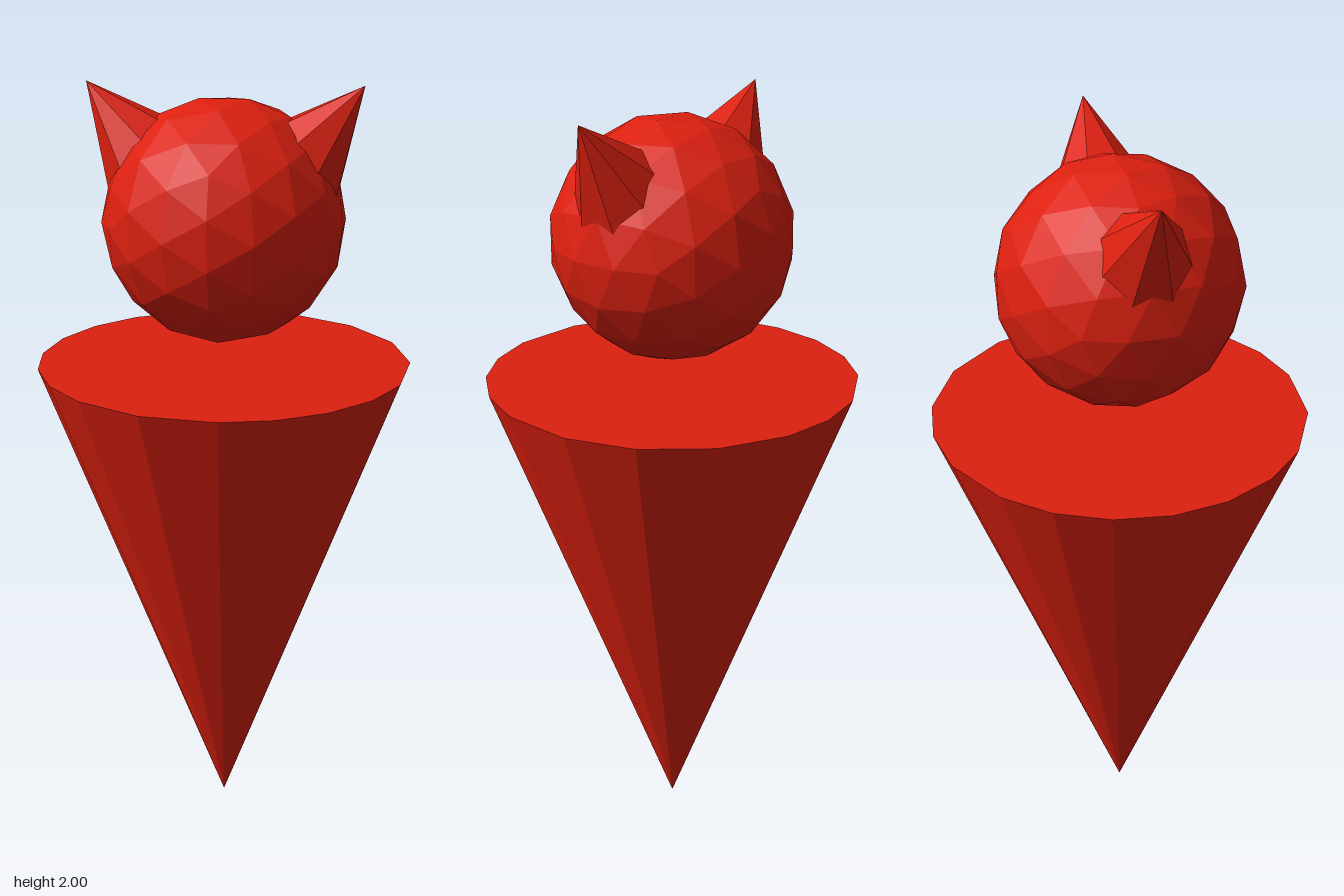
import * as THREE from 'three';

const red = new THREE.MeshStandardMaterial({ color: 0xdd2010, flatShading: true });

function part(name, geometry, parent) {
  const mesh = new THREE.Mesh(geometry, red);
  mesh.name = name;
  parent.add(mesh);
  return mesh;
}

// Inverted cone whose rim corners sit at uneven angles (degrees from +z towards +x)
function bodyGeometry(radius, height) {
  const angles = [6, 22.5, 39, 56, 73, 96, 118, 141, 163, 180, 197, 219, 236, 253, 270, 287, 304, 321, 343];
  const n = angles.length;
  const geometry = new THREE.CylinderGeometry(radius, 0, height, n);
  const pos = geometry.attributes.position;
  for (let i = 0; i < pos.count; i++) {
    const r = Math.hypot(pos.getX(i), pos.getZ(i));
    if (r < 1e-6) continue;
    const turn = Math.atan2(pos.getX(i), pos.getZ(i)) / (2 * Math.PI);
    const k = (Math.round(turn * n) + n) % n;
    const a = THREE.MathUtils.degToRad(angles[k]);
    pos.setXYZ(i, r * Math.sin(a), pos.getY(i), r * Math.cos(a));
  }
  geometry.translate(0, height / 2, 0);
  geometry.computeVertexNormals();
  return geometry;
}

export function createModel() {
  const model = new THREE.Group();
  model.name = 'hornedFigure';

  // Body standing on its point
  part('body', bodyGeometry(0.483, 1.29), model);

  // Faceted head floating above the body
  const head = part('head', new THREE.IcosahedronGeometry(0.309, 2), model);
  head.position.y = 1.66;

  // Eight-sided ears, tip at the group's origin, base sunk into the head
  const length = 0.27;
  const earGeometry = new THREE.ConeGeometry(0.143, length, 8);
  earGeometry.rotateY(Math.PI / 8).translate(0, -length / 2, 0);
  for (const [name, side] of [['leftEar', 1], ['rightEar', -1]]) {
    const ear = part(name, earGeometry, model);
    ear.position.set(side * 0.345, 2, 0);
    ear.rotation.z = -side * THREE.MathUtils.degToRad(39);
  }

  return model;
}
